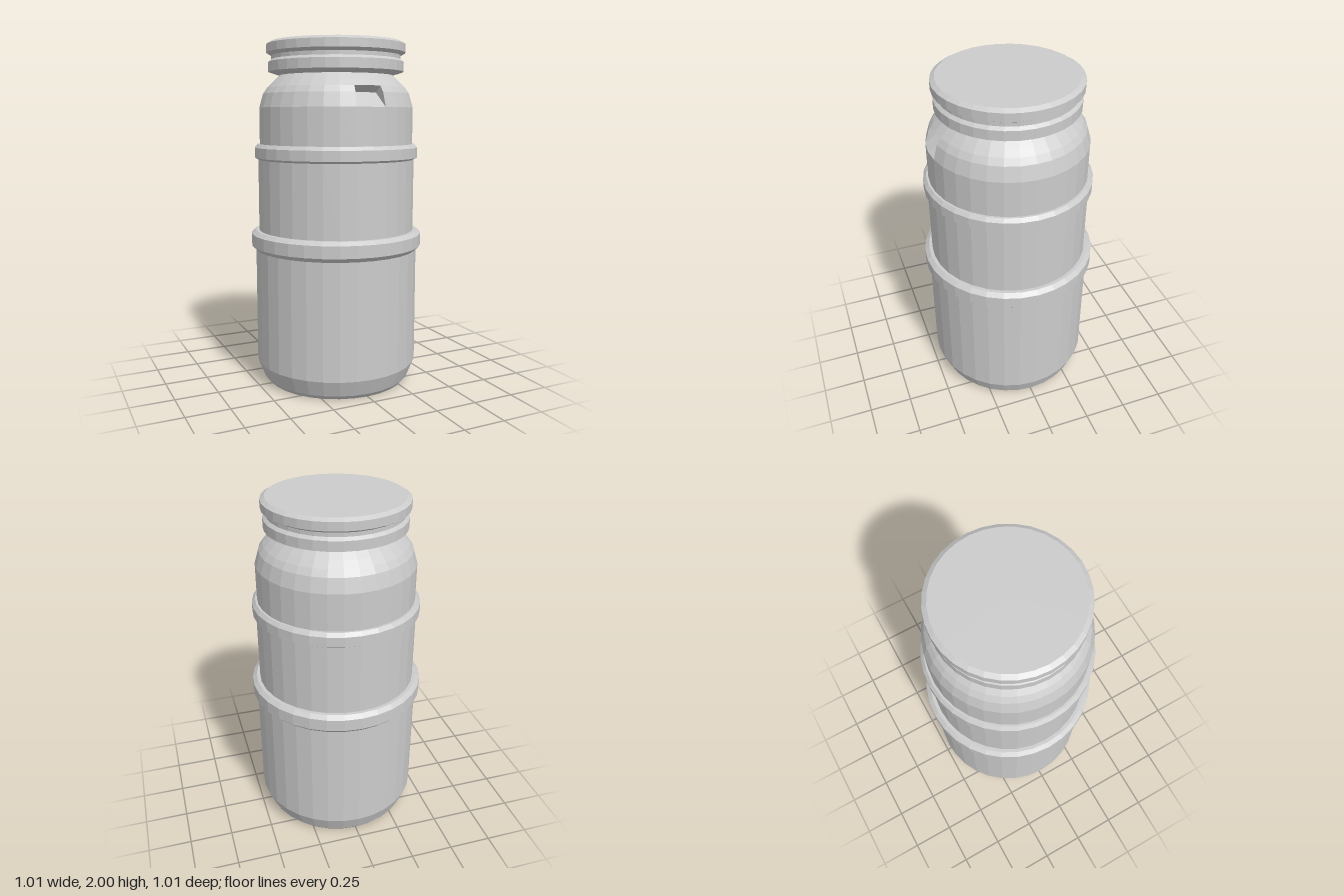
import * as THREE from 'three';

const SIDES = 32;
const STEP = (Math.PI * 2) / SIDES;
const material = new THREE.MeshStandardMaterial({ color: 0xcccccc, flatShading: true });

// Turned part from [radius, height] pairs, listed bottom to top
function turned(name, profile, start = 0, segments = SIDES) {
  const points = profile.map(([r, y]) => new THREE.Vector2(r, y));
  const mesh = new THREE.Mesh(new THREE.LatheGeometry(points, segments, start, segments * STEP), material);
  mesh.name = name;
  return mesh;
}

// Wedge-shaped recess two facets wide: sloped floor, short roof, triangular cheeks
function recess([r0, y0], [r1, y1], [r2, y2], depthZ, depthY) {
  const columns = [-1, 0, 1].map((i) => {
    const s = Math.sin(i * STEP), c = Math.cos(i * STEP);
    return [
      [r0 * s, y0, r0 * c],
      [(r0 + r2) / 2 * s, depthY, depthZ],
      [r2 * s, y2, r2 * c],
      [r1 * s, y1, r1 * c],
    ];
  });
  const corners = [];
  for (let i = 0; i < 2; i++) {
    const a = columns[i], b = columns[i + 1];
    for (let j = 0; j < 2; j++) corners.push(a[j], b[j], b[j + 1], a[j], b[j + 1], a[j + 1]);
  }
  // Cheeks close the gap between the recess and the shoulder edge
  const [l, , r] = columns;
  corners.push(l[0], l[1], l[3], l[3], l[1], l[2]);
  corners.push(r[0], r[3], r[1], r[3], r[2], r[1]);
  const geometry = new THREE.BufferGeometry();
  geometry.setAttribute('position', new THREE.Float32BufferAttribute(corners.flat(), 3));
  geometry.computeVertexNormals();
  const mesh = new THREE.Mesh(geometry, material);
  mesh.name = 'shoulderRecess';
  return mesh;
}

export function createModel() {
  const group = new THREE.Group();
  group.name = 'barrel';

  // Lower shoulder points, interrupted at the front by the recess
  const rim = [0.45, 1.625], bend = [0.427, 1.705], upper = [0.403, 1.74];

  group.add(
    turned('lowerBody', [[0, 0], [0.42, 0], [0.442, 0.025], [0.48, 0.12], [0.48, 0.795]]),
    turned('lowerBand', [[0.48, 0.795], [0.505, 0.82], [0.505, 0.89], [0.48, 0.91], [0.46, 0.91]]),
    turned('middleBody', [[0.46, 0.91], [0.46, 1.325]]),
    turned('upperBand', [[0.46, 1.325], [0.48, 1.337], [0.48, 1.395], [0.462, 1.415], [0.45, 1.415]]),
    turned('upperBody', [[0.45, 1.415], rim]),
    turned('shoulder', [rim, bend, upper], STEP, SIDES - 2),
    recess(rim, bend, upper, 0.335, 1.705),
    turned('upperShoulder', [upper, [0.37, 1.773], [0.33, 1.81]]),
    turned('neckRing', [[0.33, 1.81], [0.395, 1.83], [0.395, 1.885], [0.377, 1.9]]),
    turned('neck', [[0.377, 1.9], [0.377, 1.922]]),
    turned('lid', [[0.377, 1.922], [0.405, 1.938], [0.405, 1.985], [0.38, 2], [0, 2]]),
  );
  return group;
}
